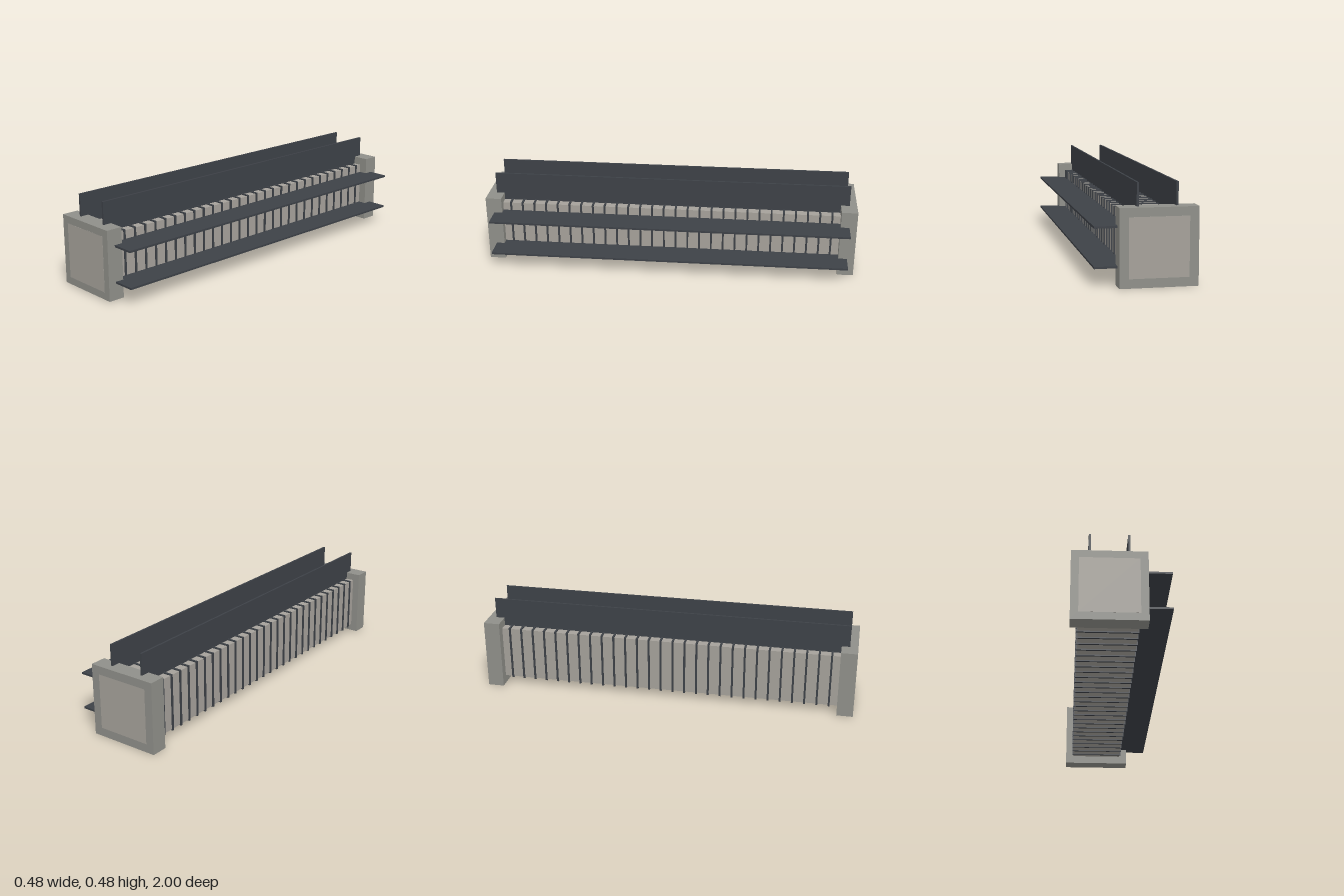
import * as THREE from 'three';

const material = (color) => new THREE.MeshStandardMaterial({ color });

export function createModel() {
  const model = new THREE.Group();
  const stone = material(0xa5a19a);
  const capStone = material(0x8f8f89);
  const steel = material(0x3d4147);

  // Box given by its lower and upper corners
  function block(name, [x0, y0, z0], [x1, y1, z1], mat, parent = model) {
    const mesh = new THREE.Mesh(new THREE.BoxGeometry(x1 - x0, y1 - y0, z1 - z0), mat);
    mesh.position.set((x0 + x1) / 2, (y0 + y1) / 2, (z0 + z1) / 2);
    mesh.name = name;
    parent.add(mesh);
    return mesh;
  }

  // Long square core, its ends showing in the end caps
  block('core', [-0.199, 0.044, -1], [0.087, 0.33, 1], stone);

  // End caps, the back one slightly larger
  block('frontCap', [-0.237, 0.006, 0.914], [0.125, 0.368, 0.9995], capStone);
  block('backCap', [-0.243, 0, -0.9995], [0.131, 0.373, -0.914], capStone);

  // Thin bands wrapped around the core at an even pitch
  const bands = new THREE.Group();
  bands.name = 'bands';
  model.add(bands);
  const count = 28, reach = 0.87, half = 0.005;
  for (let i = 0; i < count; i++) {
    const z = -reach + (2 * reach * i) / (count - 1);
    block('band', [-0.205, 0.038, z - half], [0.093, 0.336, z + half], steel, bands);
  }

  // Upright fins on top
  for (const x of [-0.149, 0.038]) {
    block('topFin', [x - 0.005, 0.33, -0.96], [x + 0.005, 0.484, 0.957], steel);
  }

  // Flat fins on the left side
  for (const y of [0.094, 0.281]) {
    block('sideFin', [0.087, y - 0.005, -0.96], [0.241, y + 0.005, 0.957], steel);
  }

  return model;
}
